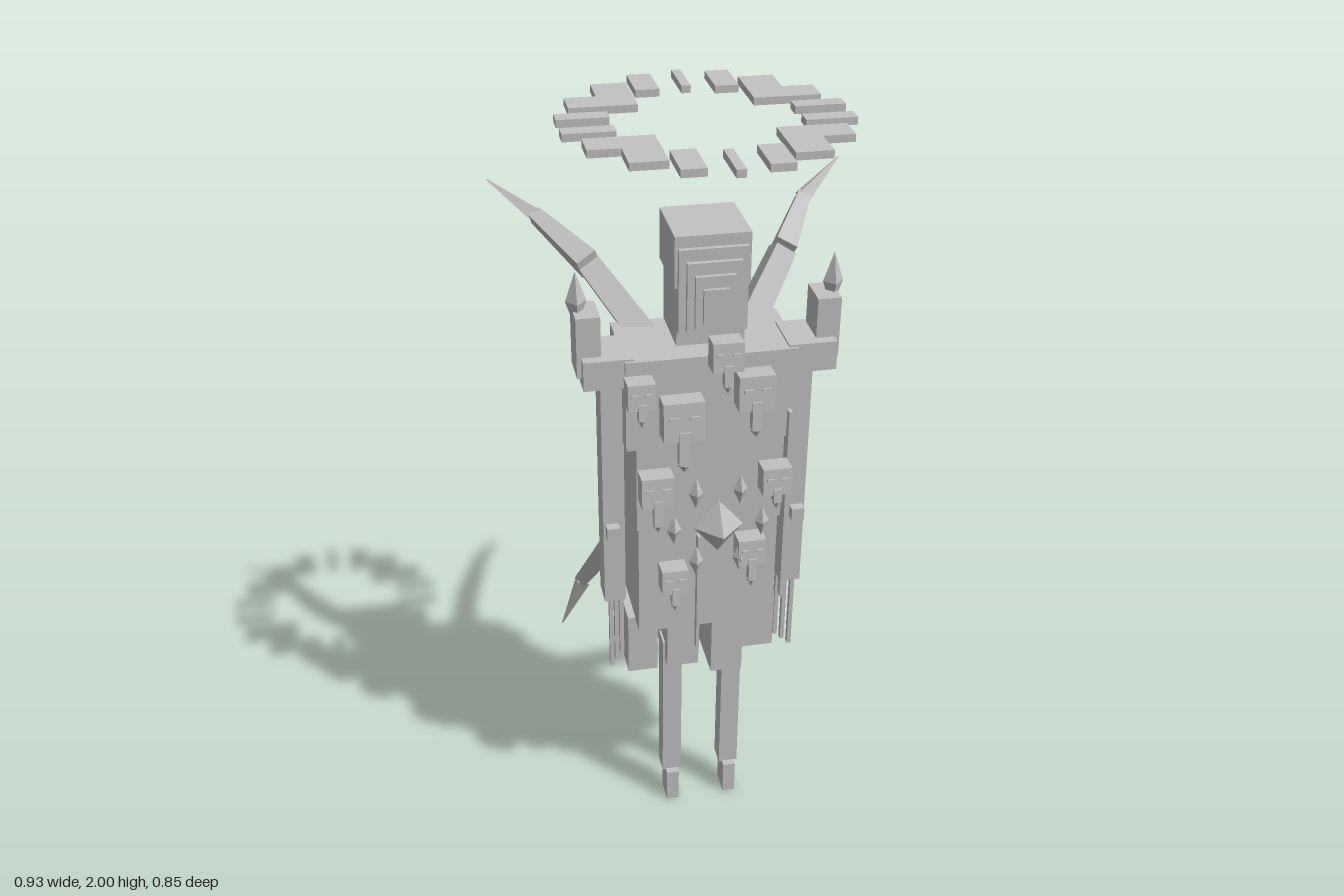
import * as THREE from 'three';

const TILT = 0.07; // the whole figure leans slightly forward

export function createModel() {
  const root = new THREE.Group();
  root.name = 'robedFigure';
  const stone = new THREE.MeshStandardMaterial({ color: 0xc0c0c0, flatShading: true });
  stone.name = 'grey stone';

  const add = (name, geometry, x, y, z, tilt = TILT) => {
    const mesh = new THREE.Mesh(geometry, stone);
    mesh.name = name;
    mesh.position.set(x, y, z);
    mesh.rotation.x = tilt;
    root.add(mesh);
    return mesh;
  };
  const box = (name, w, h, d, x, y, z, tilt) =>
    add(name, new THREE.BoxGeometry(w, h, d), x, y, z, tilt);
  const crystal = (name, rx, ry, rz, x, y, z) =>
    add(name, new THREE.OctahedronGeometry(1).scale(rx, ry, rz), x, y, z);

  // Four-sided horn: tapered segments along a bent path
  const horn = (name, points, radii) => {
    const group = new THREE.Group();
    group.name = name;
    const up = new THREE.Vector3(0, 1, 0);
    for (let i = 0; i < points.length - 1; i++) {
      const a = new THREE.Vector3(...points[i]);
      const b = new THREE.Vector3(...points[i + 1]);
      const dir = b.clone().sub(a);
      const geo = new THREE.CylinderGeometry(radii[i + 1], radii[i], dir.length(), 4);
      geo.rotateY(Math.PI / 4);
      const mesh = new THREE.Mesh(geo, stone);
      mesh.name = name + 'Segment';
      mesh.position.copy(a).add(b).multiplyScalar(0.5);
      mesh.quaternion.setFromUnitVectors(up, dir.normalize());
      group.add(mesh);
    }
    root.add(group);
  };

  // Head with stepped face plates
  box('headTop', 0.18, 0.127, 0.18, 0, 1.676, 0.08);
  box('headBase', 0.165, 0.15, 0.155, 0, 1.535, 0.072);
  [[0.165, 0.21, 0.165], [0.13, 0.17, 0.177], [0.095, 0.13, 0.187], [0.06, 0.09, 0.196]]
    .forEach(([w, h, z]) => box('facePlate', w, h, 0.024, 0, 1.6 - (0.21 - h) * 0.25, z));

  // Torso in three blocks
  box('chest', 0.42, 0.24, 0.218, 0, 1.323, 0.058);
  box('waist', 0.37, 0.24, 0.23, 0, 1.087, 0.032);
  box('robe', 0.36, 0.345, 0.235, 0, 0.815, 0.004);

  // Skirt blocks
  box('skirtBlock', 0.08, 0.18, 0.17, -0.16, 0.56, -0.035);
  box('skirtBlock', 0.085, 0.16, 0.2, -0.06, 0.585, -0.005);
  box('skirtBlock', 0.085, 0.18, 0.2, 0.06, 0.56, -0.005);
  box('skirtBlock', 0.085, 0.16, 0.17, 0.157, 0.585, -0.035);

  // Thin ribbons hanging down the front
  box('ribbon', 0.008, 0.35, 0.02, -0.037, 0.78, 0.172);
  box('ribbon', 0.008, 0.55, 0.02, 0.185, 1.01, 0.18);

  for (const s of [-1, 1]) {
    // Legs and feet
    box('leg', 0.052, 0.46, 0.055, s * 0.082, 0.33, 0.02);
    box('foot', 0.034, 0.1, 0.068, s * 0.082, 0.052, 0.013);

    // Shoulders, arms, wrist studs and fingers
    box('shoulder', 0.12, 0.075, 0.13, s * 0.248, 1.408, 0.1);
    box('arm', 0.055, 0.66, 0.075, s * 0.235, 1.05, 0.06);
    box('wristStud', 0.033, 0.035, 0.03, s * 0.24, 0.942, 0.1);
    [0.213, 0.229, 0.245].forEach((x, i) =>
      box('finger', 0.011, 0.22 + 0.015 * i, 0.015, s * x, 0.625, 0.025 + 0.015 * i));

    // Shoulder posts topped with flames
    box('shoulderPost', 0.058, 0.155, 0.09, s * 0.29, 1.47, 0.098);
    crystal('flame', 0.025, 0.075, 0.025, s * 0.31, 1.57, 0.1);

    // Back horns
    horn('upperHorn',
      [[s * 0.125, 1.41, -0.02], [s * 0.245, 1.575, -0.12], [s * 0.35, 1.643, -0.315], [s * 0.462, 1.725, -0.376]],
      [0.048, 0.04, 0.024, 0.002]);
    horn('lowerHorn',
      [[s * 0.155, 0.87, -0.09], [s * 0.262, 0.52, -0.36], [s * 0.322, 0.33, -0.427]],
      [0.045, 0.026, 0.002]);
  }

  // Floating masks: [x, y, size, y of the chin tip]
  [
    [0.02, 1.46, 0.074, 1.368], [-0.185, 1.378, 0.066, 1.3], [0.09, 1.363, 0.088, 1.247],
    [-0.085, 1.305, 0.1, 1.172], [-0.15, 1.122, 0.08, 1.013], [0.145, 1.12, 0.072, 1.045],
    [-0.11, 0.865, 0.066, 0.78], [0.085, 0.927, 0.07, 0.828],
  ].forEach(([x, y, size, tip]) => {
    const z = 0.224, front = z + 0.03;
    const top = y - size * 0.25;
    box('mask', size, size, 0.055, x, y, z, 0);
    box('maskChin', size * 0.28, top - tip - 0.02, 0.025, x, (top + tip + 0.02) / 2, z + 0.02, 0);
    const point = add('maskChinTip', new THREE.ConeGeometry(size * 0.19, 0.022, 4), x, tip + 0.01, z + 0.02, 0);
    point.rotation.z = Math.PI;
    for (const s of [-1, 1]) {
      box('maskBrow', size * 0.25, size * 0.1, 0.008, x + s * size * 0.25, y + size * 0.1, front - 0.001, 0);
    }
  });

  // Chest crystal with six small crystals around it
  crystal('coreCrystal', 0.062, 0.073, 0.06, 0, 1.01, 0.24);
  for (let i = 0; i < 6; i++) {
    const a = (i * Math.PI) / 3;
    crystal('smallCrystal', 0.018, 0.043, 0.018, Math.cos(a) * 0.11, 1.01 + Math.sin(a) * 0.11, 0.238);
  }

  // Halo of flat plates: [x, z offset, width, depth], mirrored both ways
  const halo = new THREE.Group();
  halo.name = 'halo';
  halo.position.set(0, 1.972, 0.09);
  halo.rotation.x = TILT;
  root.add(halo);
  [
    [0, 0.275, 0.022, 0.123], [0.095, 0.258, 0.057, 0.117], [0.178, 0.18, 0.085, 0.16],
    [0.24, 0.136, 0.11, 0.072], [0.273, 0.046, 0.12, 0.041],
  ].forEach(([x, z, w, d]) => {
    for (const sx of x ? [-1, 1] : [1]) {
      for (const sz of [-1, 1]) {
        const plate = new THREE.Mesh(new THREE.BoxGeometry(w, 0.018, d), stone);
        plate.name = 'haloPlate';
        plate.position.set(sx * x, 0, sz * z);
        halo.add(plate);
      }
    }
  });

  return root;
}
